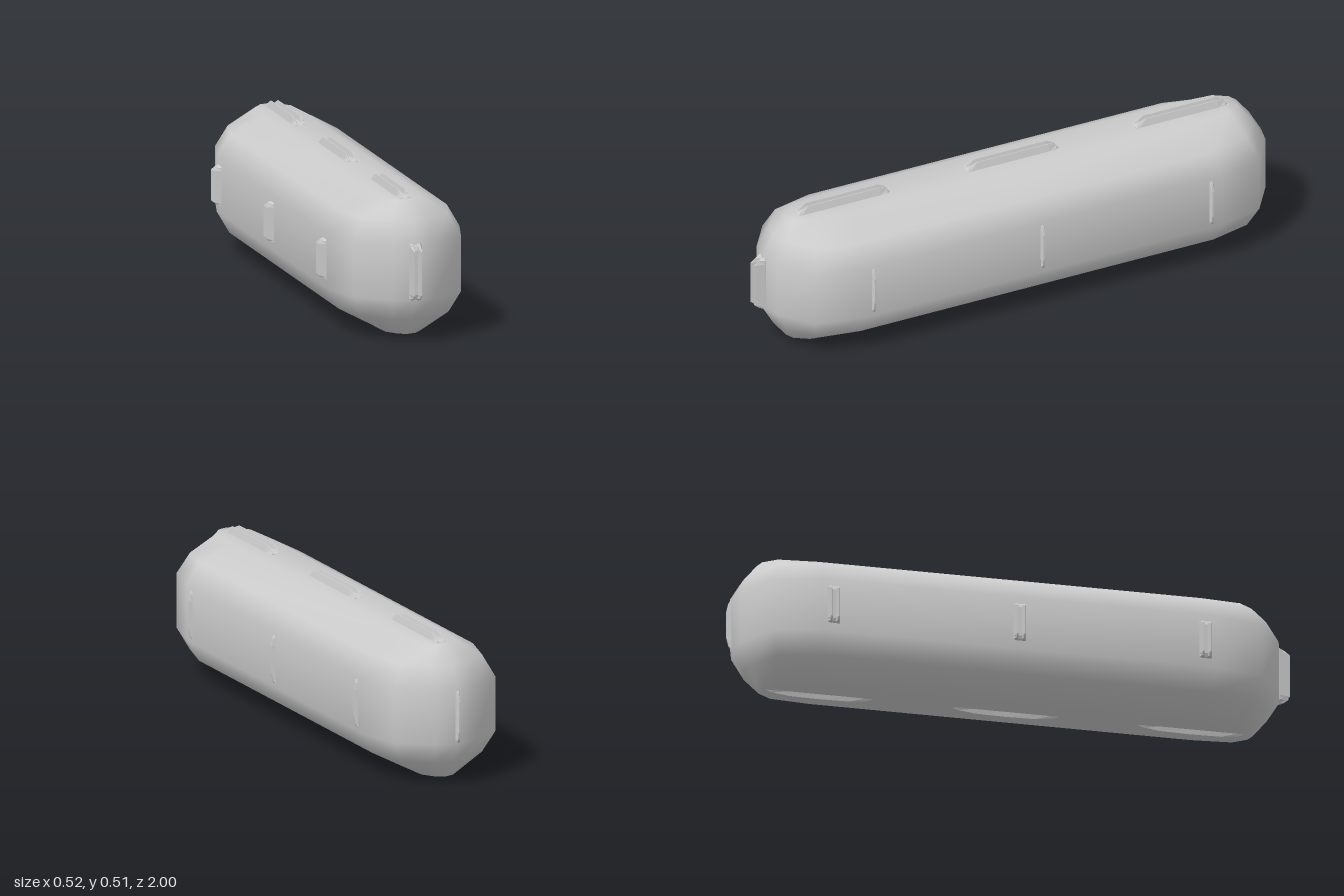
import * as THREE from 'three';

const material = new THREE.MeshStandardMaterial({ color: 0xcccccc });
const CX = 0.006, CY = 0.253, CZ = -0.01; // centre of the hull

// Quarter outlines [x, z] of the hull at three heights above its middle
const LEVELS = [
  { y: 0.098, q: [[0, 0.975], [0.075, 0.955], [0.194, 0.87], [0.237, 0.70]] },
  { y: 0.174, q: [[0, 0.93], [0.066, 0.912], [0.157, 0.84], [0.194, 0.69]] },
  { y: 0.236, q: [[0, 0.88], [0.032, 0.868], [0.066, 0.82], [0.078, 0.68]] },
];

// Mirror a quarter outline into a closed ring, front -> +x -> back -> -x
function fullRing(q) {
  const half = [...q, ...q.map(([x, z]) => [x, -z]).reverse()];
  return [...half, ...half.slice(1, -1).map(([x, z]) => [-x, z]).reverse()];
}

function hullGeometry() {
  const rings = [
    ...LEVELS.slice().reverse().map(l => ({ y: -l.y, p: fullRing(l.q) })),
    ...LEVELS.map(l => ({ y: l.y, p: fullRing(l.q) })),
  ];
  const n = rings[0].p.length, pos = [], idx = [];
  for (const r of rings) for (const [x, z] of r.p) pos.push(x, r.y, z);
  const quad = (a, b, c, d) => idx.push(a, b, c, a, c, d);
  for (let j = 0; j < rings.length - 1; j++)
    for (let i = 0; i < n; i++) {
      const k = (i + 1) % n;
      quad(j * n + i, j * n + k, (j + 1) * n + k, (j + 1) * n + i);
    }
  // Flat strips closing the top and the bottom
  const top = (rings.length - 1) * n;
  for (let i = 0; i < n / 2; i++) {
    const a = i, b = i + 1, c = n - i - 1, d = (n - i) % n;
    const tris = i === 0 ? [[a, b, c]] : i === n / 2 - 1 ? [[a, b, d]] : [[a, b, c], [a, c, d]];
    for (const [p, q, r] of tris) {
      idx.push(top + p, top + q, top + r);
      idx.push(p, r, q);
    }
  }
  const g = new THREE.BufferGeometry();
  g.setAttribute('position', new THREE.Float32BufferAttribute(pos, 3));
  g.setIndex(idx);
  g.computeVertexNormals();
  return g;
}

// Cross-sections [across, height]; heights are fractions of the fin height
const DOUBLE = [[-0.022, -0.6], [0.022, -0.6], [0.022, 0], [0.014, 1], [0.011, 1],
  [0.006, 0.35], [-0.006, 0.35], [-0.011, 1], [-0.014, 1], [-0.022, 0]];
const SINGLE = [[-0.008, -0.6], [0.008, -0.6], [0.008, 0], [0.003, 1], [-0.003, 1], [-0.008, 0]];

// Stations along a fin: [position from -1 to 1, height fraction]
const RAMPED = [[-1, 0.05], [-0.93, 0.55], [-0.78, 1], [0.78, 1], [0.93, 0.55], [1, 0.05]];
const LENS = [[-1, 0], [-0.85, 0.5], [-0.55, 0.9], [0, 1], [0.55, 0.9], [0.85, 0.5], [1, 0]];

// Fin running along z and rising along y
function finGeometry(section, stations, length, height) {
  const shape = new THREE.Shape(section.map(([u, h]) => new THREE.Vector2(u, h)));
  const steps = stations.length - 1;
  const g = new THREE.ExtrudeGeometry(shape, { depth: 1, steps, bevelEnabled: false });
  const p = g.attributes.position;
  for (let i = 0; i < p.count; i++) {
    const [s, h] = stations[Math.round(p.getZ(i) * steps)];
    const y = p.getY(i);
    p.setY(i, (y > 0 ? y * h : y) * height);
    p.setZ(i, s * length / 2);
  }
  g.computeVertexNormals();
  return g;
}

export function createModel() {
  const model = new THREE.Group();

  const hull = new THREE.Mesh(hullGeometry(), material);
  hull.name = 'body';
  hull.position.set(CX, CY, CZ);
  model.add(hull);

  const X = new THREE.Vector3(1, 0, 0), Y = new THREE.Vector3(0, 1, 0), Z = new THREE.Vector3(0, 0, 1);
  const addFin = (name, geometry, up, along, x, y, z) => {
    const fin = new THREE.Mesh(geometry, material);
    fin.name = name;
    const across = new THREE.Vector3().crossVectors(up, along);
    fin.quaternion.setFromRotationMatrix(new THREE.Matrix4().makeBasis(across, up, along));
    fin.position.set(x, y, z);
    model.add(fin);
  };

  // Three stations of fins along the top, bottom and both sides
  const topFin = finGeometry(DOUBLE, RAMPED, 0.36, 0.025);
  const bottomFin = finGeometry(SINGLE, LENS, 0.39, 0.018);
  const rightFin = finGeometry(DOUBLE, RAMPED, 0.14, 0.029);
  const leftFin = finGeometry(SINGLE, LENS, 0.175, 0.015);
  for (const i of [-1, 0, 1]) {
    const z = CZ + i * 0.66;
    addFin('topFin', topFin, Y, Z, CX, 0.489, z);
    addFin('bottomFin', bottomFin, Y.clone().negate(), Z, CX, 0.018, z);
    addFin('rightFin', rightFin, X.clone().negate(), Y, -0.23, 0.255, z);
    addFin('leftFin', leftFin, X, Y, 0.242, 0.255, z);
  }

  // One upright fin at each end
  addFin('frontFin', finGeometry(DOUBLE, RAMPED, 0.2, 0.04), Z, Y, CX, CY, 0.96);
  addFin('backFin', finGeometry(SINGLE, LENS, 0.19, 0.017), Z.clone().negate(), Y, CX, CY, -0.983);

  return model;
}
